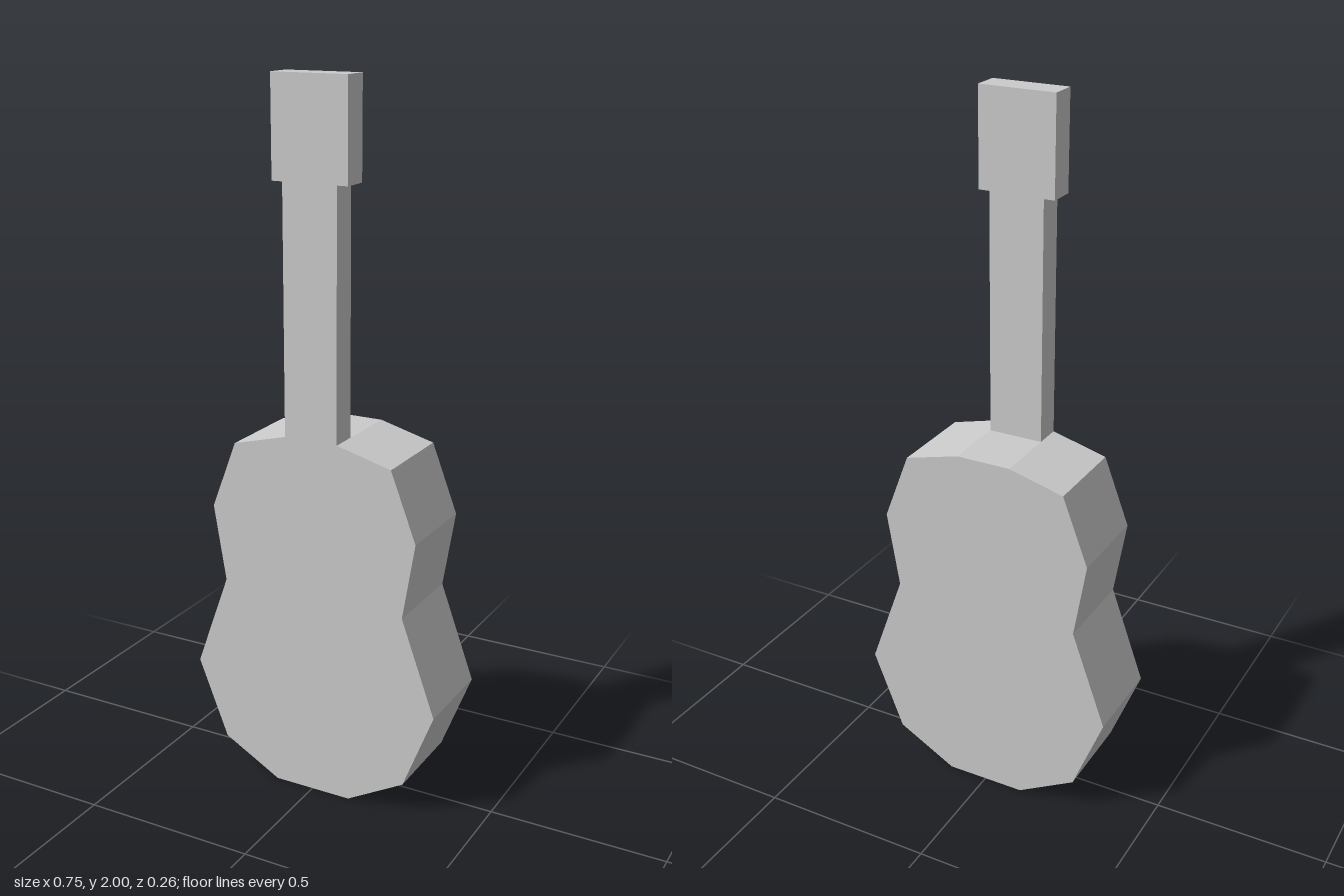
import * as THREE from 'three';

const FRONT = 0.131; // shared front plane of body, neck and head
const DEPTH = 0.262;
const NECK_DEPTH = 0.077;

export function createModel() {
  const guitar = new THREE.Group();
  guitar.name = 'guitar';
  const material = new THREE.MeshStandardMaterial({ color: 0xcccccc, flatShading: true });

  const add = (name, geometry) => {
    const mesh = new THREE.Mesh(geometry, material);
    mesh.name = name;
    guitar.add(mesh);
    return mesh;
  };

  // Body: waisted outline, one half mirrored, extruded front to back
  const half = [
    [0.116, 0], [0.286, 0.095], [0.375, 0.322], [0.276, 0.597],
    [0.312, 0.815], [0.238, 1.01], [0.079, 1.052],
  ];
  const outline = [...half, ...half.map(([x, y]) => [-x, y]).reverse()];
  const shape = new THREE.Shape(outline.map(([x, y]) => new THREE.Vector2(x, y)));
  const body = add('body', new THREE.ExtrudeGeometry(shape, { depth: DEPTH, bevelEnabled: false }));
  body.position.z = FRONT - DEPTH;

  // Neck and head: thin slabs flush with the front of the body
  const slab = (name, width, y0, y1) => {
    const mesh = add(name, new THREE.BoxGeometry(width, y1 - y0, NECK_DEPTH));
    mesh.position.set(0, (y0 + y1) / 2, FRONT - NECK_DEPTH / 2);
  };
  slab('neck', 0.157, 1.052, 1.731);
  slab('head', 0.219, 1.731, 2);

  return guitar;
}
